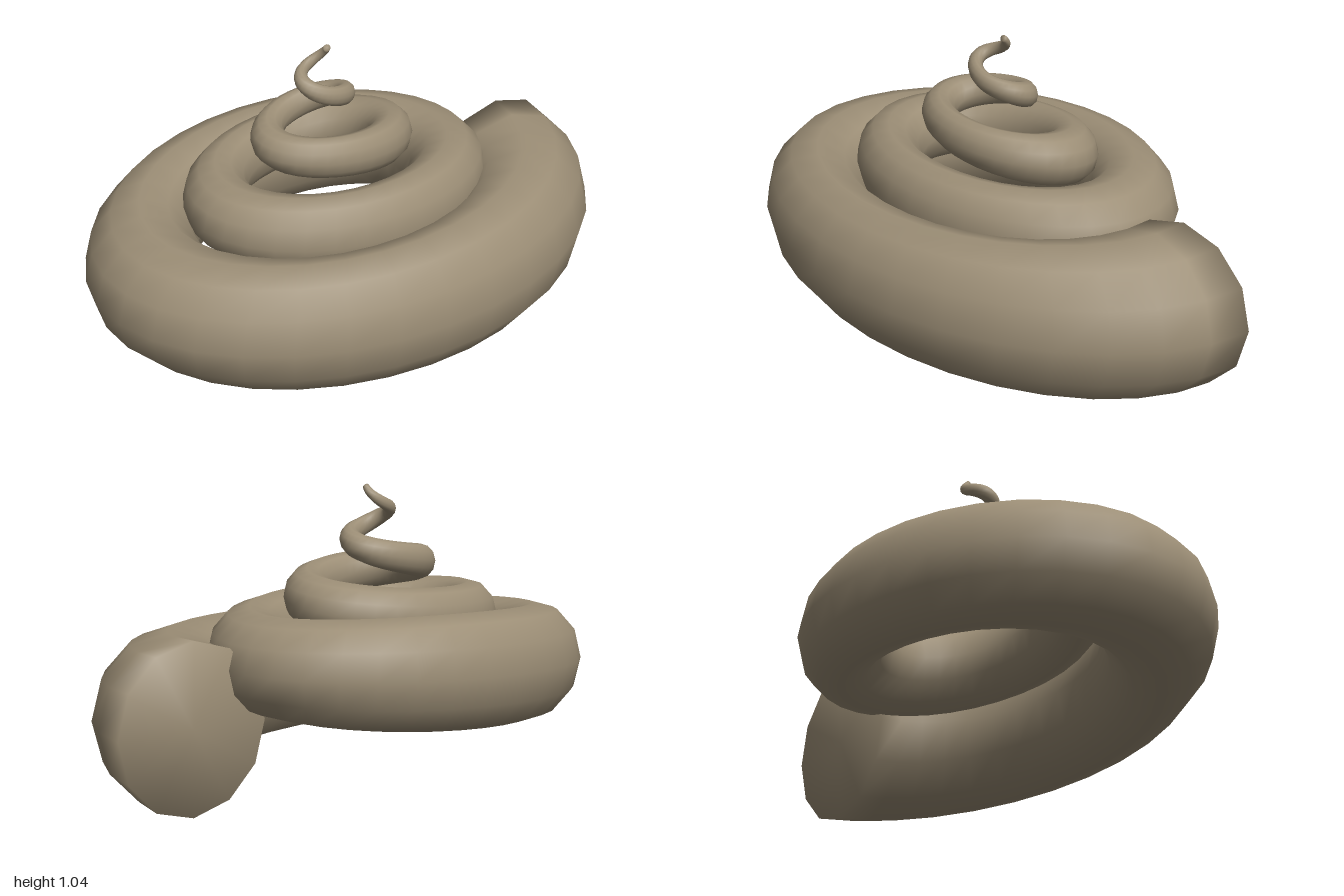
import * as THREE from 'three';

const TURNS = 4, STEPS = 128, SIDES = 12, DEPTH = 0.74;

// Every quarter turn: [spiral radius, height of tube centre, tube radius]
const stations = [
  [0.81, 0.29, 0.29], [0.74, 0.322, 0.238], [0.69, 0.375, 0.208], [0.575, 0.435, 0.197],
  [0.505, 0.468, 0.165], [0.443, 0.515, 0.145], [0.405, 0.56, 0.123], [0.335, 0.59, 0.11],
  [0.275, 0.65, 0.095], [0.235, 0.71, 0.075], [0.207, 0.75, 0.064], [0.145, 0.795, 0.052],
  [0.1, 0.842, 0.043], [0.083, 0.885, 0.034], [0.072, 0.94, 0.026], [0.05, 0.98, 0.02],
  [0.035, 1.03, 0.013],
];
const profile = new THREE.CatmullRomCurve3(
  stations.map((s) => new THREE.Vector3(...s)), false, 'catmullrom', 0.5);

// Centre of the coil: a spiral that shrinks while it rises
function centre(t) {
  const p = profile.getPoint(t), a = t * TURNS * Math.PI * 2;
  return new THREE.Vector3(p.x * Math.cos(a), p.y, p.x * Math.sin(a));
}

// The coil is oval in plan: shallower from front to back
const place = (v) => v.set(v.x - 0.1, v.y, v.z * DEPTH - 0.08);

// Ring of points around the coil, kept upright
function ring(t) {
  const c = centre(t), r = profile.getPoint(t).z, e = 0.002;
  const tangent = centre(Math.min(1, t + e)).sub(centre(Math.max(0, t - e))).normalize();
  const side = new THREE.Vector3(0, 1, 0).cross(tangent).normalize();
  const up = tangent.clone().cross(side);
  return Array.from({ length: SIDES }, (_, j) => {
    const a = (j / SIDES) * Math.PI * 2;
    return place(c.clone().addScaledVector(side, r * Math.cos(a)).addScaledVector(up, r * Math.sin(a)));
  });
}

export function createModel() {
  const points = [], index = [];

  // Tapering coil skin
  for (let i = 0; i <= STEPS; i++) points.push(...ring(i / STEPS));
  for (let i = 0; i < STEPS; i++) {
    for (let j = 0; j < SIDES; j++) {
      const a = i * SIDES + j, b = i * SIDES + ((j + 1) % SIDES);
      index.push(a, b, a + SIDES, b, b + SIDES, a + SIDES);
    }
  }

  // Closed ends, shaded smoothly into the skin
  const base = points.push(place(centre(0))) - 1;
  const tip = points.push(place(centre(1))) - 1;
  const last = STEPS * SIDES;
  for (let j = 0; j < SIDES; j++) {
    const k = (j + 1) % SIDES;
    index.push(base, k, j, tip, last + j, last + k);
  }

  const geometry = new THREE.BufferGeometry().setFromPoints(points);
  geometry.setIndex(index);
  geometry.computeVertexNormals();

  const coil = new THREE.Mesh(geometry, new THREE.MeshStandardMaterial({ color: 0x9c8e76 }));
  coil.name = 'coil';
  const group = new THREE.Group();
  group.name = 'spiralCoil';
  group.add(coil);
  return group;
}
